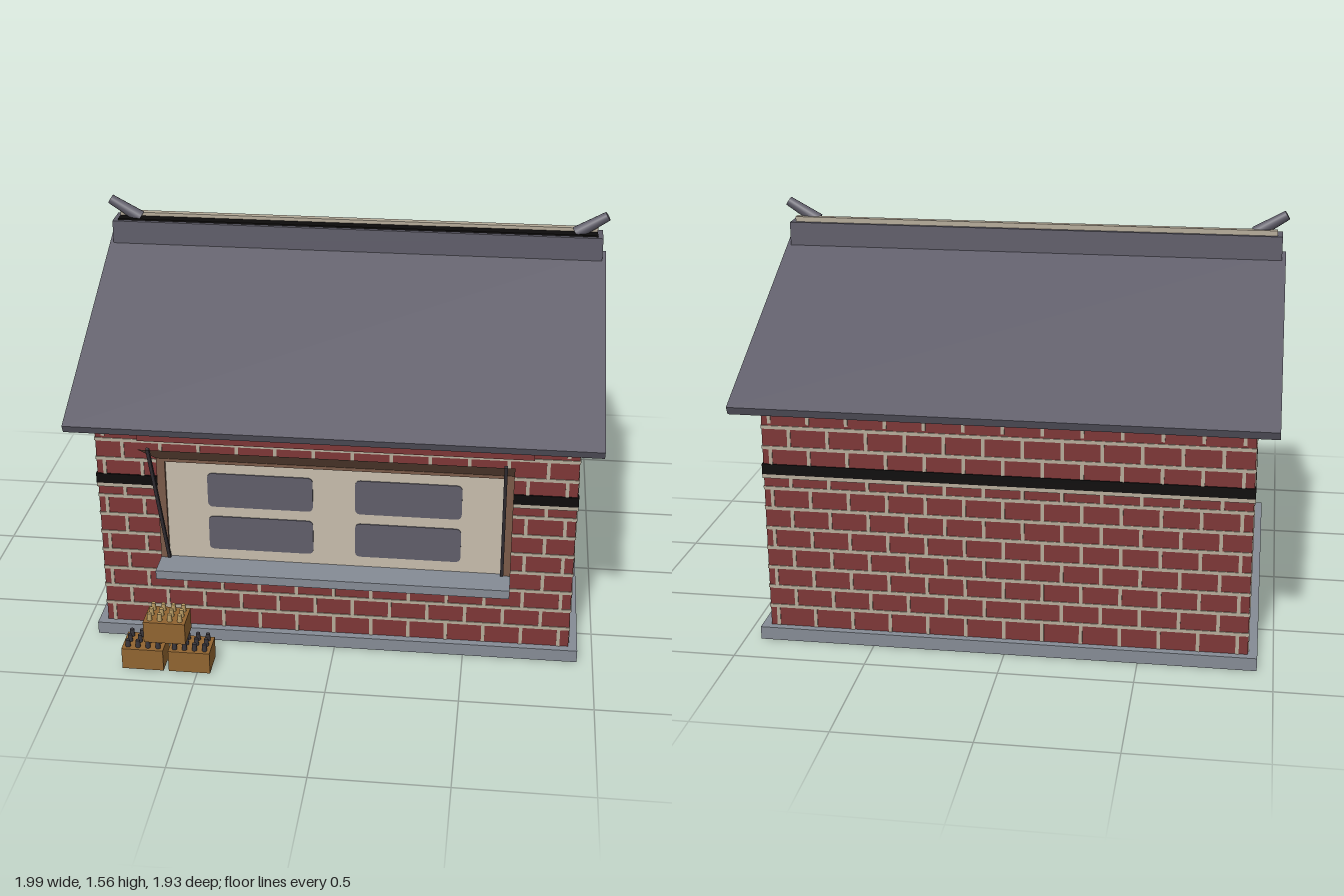
import * as THREE from 'three';
import { mergeGeometries } from 'three/addons/utils/BufferGeometryUtils.js';

const paint = (name, color, side = THREE.FrontSide) => {
  const m = new THREE.MeshStandardMaterial({ color, side });
  m.name = name;
  return m;
};

const MID = -0.075;            // z of the ridge and of the wall centre
const HX = 0.905, HZ = 0.745;  // wall half sizes
const SLOPE = 0.483;
const COURSE = 0.08, BRICK = 0.145, JOINT = 0.013;

export function createModel() {
  const house = new THREE.Group();
  house.name = 'house';
  const brick = paint('brickRed', 0x7d3636);
  const mortar = paint('mortar', 0xb5ab99);
  const slate = paint('slate', 0x5f5d69);
  const stone = paint('stoneGrey', 0x858b95);
  const wood = paint('wood', 0x7a5a48, THREE.DoubleSide);
  const cream = paint('cream', 0xc6bcab);
  const black = paint('black', 0x0c0a0a);
  const crateWood = paint('crateWood', 0x906430);
  const tan = paint('bottleTan', 0xb89a62);
  const iron = paint('darkIron', 0x39363b);

  const add = (name, geo, mat, parent = house) => {
    const m = new THREE.Mesh(geo, mat);
    m.name = name;
    parent.add(m);
    return m;
  };
  // box from min and max corners
  const box = (name, mat, x0, x1, y0, y1, z0, z1, parent) => {
    const m = add(name, new THREE.BoxGeometry(x1 - x0, y1 - y0, z1 - z0), mat, parent);
    m.position.set((x0 + x1) / 2, (y0 + y1) / 2, (z0 + z1) / 2);
    return m;
  };
  // prism along x from a symmetric (z, y) outline
  const prism = (name, mat, pts, half) => {
    const shape = new THREE.Shape(pts.map(p => new THREE.Vector2(p[0], p[1])));
    const geo = new THREE.ExtrudeGeometry(shape, { depth: half * 2, bevelEnabled: false });
    geo.translate(0, 0, -half).rotateY(Math.PI / 2);
    add(name, geo, mat).position.z = MID;
  };

  // plinth and brick body
  box('plinth', stone, -0.94, 0.94, 0, 0.05, -0.85, 0.70);
  prism('walls', brick, [[-HZ, 0.05], [HZ, 0.05], [HZ, 1.0], [0.093, 1.32], [-0.093, 1.32], [-HZ, 1.0]], HX);
  prism('gableVent', black, [[-0.1, 1.315], [0.1, 1.315], [0, 1.363]], HX - 0.004);

  // mortar joints of one wall, built facing +z
  const joints = (half, gable) => {
    const parts = [];
    const strip = (w, h, x, y) => parts.push(new THREE.BoxGeometry(w, h, 0.005).translate(x, y, 0.001));
    const rows = gable ? 16 : 12;
    for (let r = 0; r < rows; r++) {
      const y = 0.05 + r * COURSE;
      if (r && y < 0.9) strip(half * 2, JOINT, 0, y);
      const shift = (r % 2) * BRICK / 2;
      for (let x = -half + 0.03 + shift; x < half - 0.01; x += BRICK) {
        const top = gable ? 1.33 - SLOPE * Math.abs(x) : 1;
        const high = y > 0.82 ? 0.05 : COURSE;
        if (y + high < top) strip(JOINT, high, x, y + COURSE / 2);
      }
    }
    return mergeGeometries(parts);
  };
  for (let i = 0; i < 4; i++) {
    const side = i % 2 === 1;
    const a = i * Math.PI / 2, d = side ? HX : HZ;
    const m = add('mortarJoints', joints(side ? HZ : HX, side), mortar);
    m.rotation.y = a;
    m.position.set(Math.sin(a) * d, 0, MID + Math.cos(a) * d);
  }

  // dark belt around the walls
  const bx = HX + 0.005, bz = HZ + 0.005;
  box('belt', black, -bx, bx, 0.665, 0.705, MID - bz, MID + bz);
  box('beltMortar', mortar, -bx, bx, 0.65, 0.665, MID - bz, MID + bz);

  // roof slabs with wooden undersides
  const slab = new THREE.BoxGeometry(1.97, 0.034, 0.99).translate(0, -0.017, 0.495);
  for (const turn of [0, Math.PI]) {
    const half = new THREE.Group();
    half.name = 'roofHalf';
    half.position.set(0, 1.40, MID);
    half.rotation.y = turn;
    add('roofSlab', slab, [slate, slate, slate, wood, slate, slate], half).rotation.x = Math.atan(SLOPE);
    house.add(half);
  }

  // ridge with cap strips and upturned end horns
  box('ridgeBeam', slate, -0.97, 0.97, 1.375, 1.468, MID - 0.05, MID + 0.05);
  box('ridgeCap', mortar, -0.95, 0.95, 1.468, 1.488, MID - 0.035, MID - 0.008);
  box('ridgeGroove', black, -0.95, 0.95, 1.468, 1.474, MID - 0.008, MID + 0.035);
  for (const s of [-1, 1]) {
    const horn = add('ridgeHorn', new THREE.CylinderGeometry(0.019, 0.026, 0.14, 12), slate);
    horn.position.set(s * 0.925, 1.507, MID);
    horn.rotation.z = -s * 1.02;
  }

  // serving window with frame, panes and sill
  box('windowPanel', cream, -0.64, 0.64, 0.36, 0.79, 0.66, 0.682);
  for (const s of [-1, 1]) {
    const x = s * 0.654;
    box('windowPost', wood, x - 0.016, x + 0.016, 0.36, 0.80, 0.66, 0.695);
  }
  box('windowHead', wood, -0.67, 0.67, 0.78, 0.80, 0.66, 0.695);
  box('lintel', brick, -0.74, 0.74, 0.86, 1.0, 0.66, 0.692);
  box('windowSill', stone, -0.67, 0.67, 0.33, 0.365, 0.66, 0.80);
  const pane = new THREE.Shape();
  const w = 0.2, h = 0.071, r = 0.022;
  pane.moveTo(-w + r, -h);
  pane.lineTo(w - r, -h).quadraticCurveTo(w, -h, w, -h + r);
  pane.lineTo(w, h - r).quadraticCurveTo(w, h, w - r, h);
  pane.lineTo(-w + r, h).quadraticCurveTo(-w, h, -w, h - r);
  pane.lineTo(-w, -h + r).quadraticCurveTo(-w, -h, -w + r, -h);
  const paneGeo = new THREE.ExtrudeGeometry(pane, { depth: 0.005, bevelEnabled: false });
  for (const x of [-0.28, 0.28]) for (const y of [0.48, 0.664])
    add('windowPane', paneGeo, slate).position.set(x, y, 0.681);

  // raised shutter held by two struts
  const z0 = 0.69, y0 = 0.79, z1 = 0.96, y1 = 0.965;
  const flap = add('shutter', new THREE.PlaneGeometry(1.34, Math.hypot(z1 - z0, y1 - y0)), wood);
  flap.position.set(0, (y0 + y1) / 2, (z0 + z1) / 2);
  flap.rotation.x = Math.atan2(z1 - z0, y1 - y0);
  for (const x of [-0.638, 0.638]) {
    const strut = add('shutterStrut', new THREE.BoxGeometry(0.012, 0.65, 0.012), iron);
    strut.position.set(x, 0.66, 0.816);
    strut.rotation.x = Math.atan2(0.25, 0.595);
  }

  // side door with keystone
  box('door', wood, 0.89, 0.916, 0.05, 0.71, -0.225, 0.072);
  box('doorKeystone', brick, 0.89, 0.914, 0.71, 0.83, -0.125, -0.025);

  // stacked bottle crates
  const bottle = new THREE.CylinderGeometry(0.008, 0.011, 0.045, 10);
  for (const [x, y, mat] of [[-0.71, 0, iron], [-0.53, 0, iron], [-0.62, 0.125, tan]]) {
    const crate = new THREE.Group();
    crate.name = 'bottleCrate';
    crate.position.set(x, y, 0.868);
    box('crateBox', crateWood, -0.08, 0.08, 0, 0.088, -0.058, 0.058, crate);
    for (let i = 0; i < 4; i++) for (let j = 0; j < 3; j++)
      add('bottle', bottle, mat, crate).position.set(-0.058 + i * 0.0387, 0.095, -0.036 + j * 0.036);
    house.add(crate);
  }
  return house;
}
